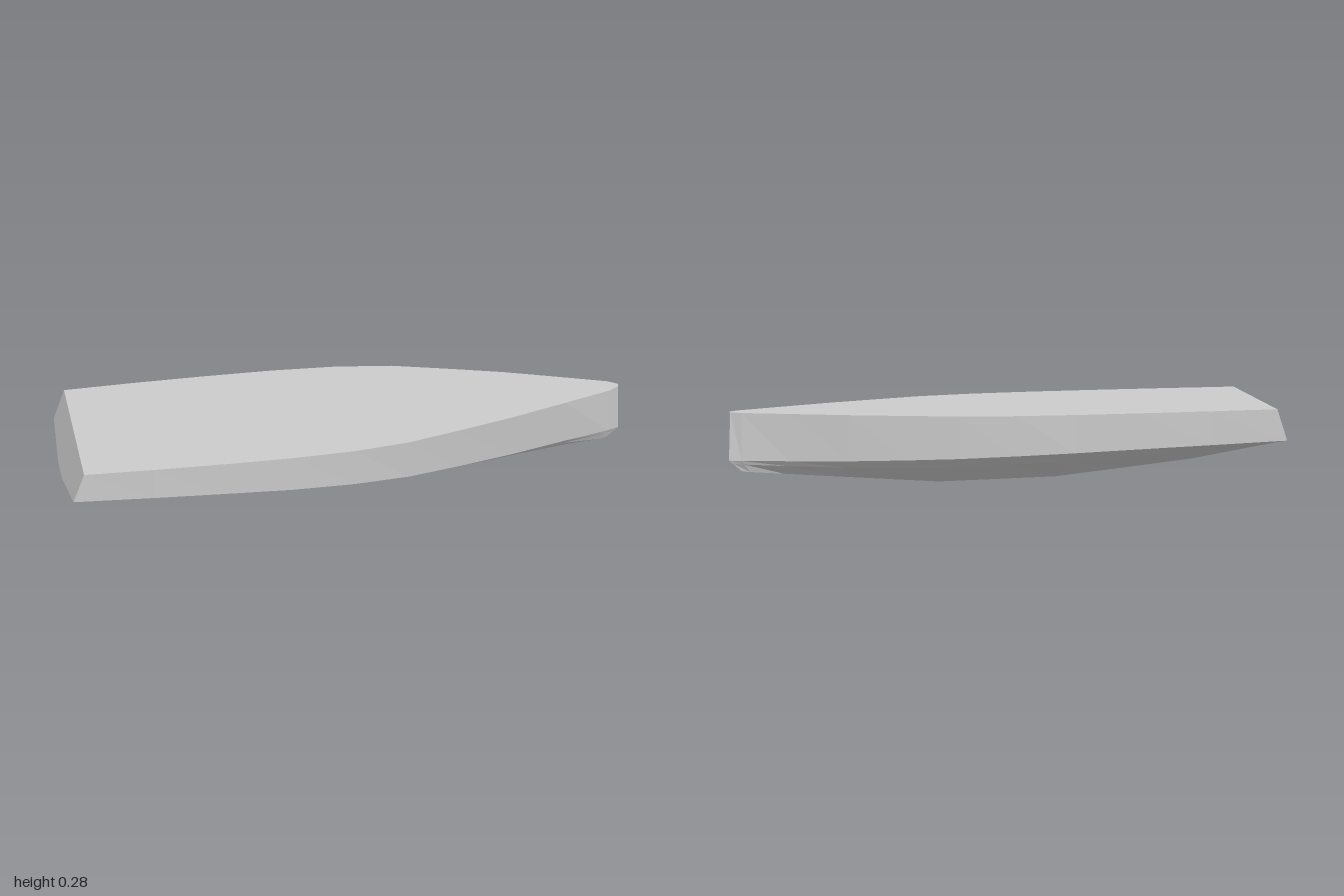
import * as THREE from 'three';

// Hull stations from transom to bow:
// [deckX, chineX, keelX, deckHalf, chineHalf, chineY, keelHalf, keelY, bilgeDrop]
const stations = [
  [-0.95, -0.987, -1.0, 0.275, 0.272, 0.13, 0.056, 0.09, 0],
  [-0.7, -0.7, -0.7, 0.282, 0.278, 0.127, 0.045, 0.045, 0.002],
  [-0.45, -0.45, -0.45, 0.285, 0.28, 0.124, 0.035, 0.022, 0.004],
  [-0.2, -0.2, -0.2, 0.284, 0.279, 0.12, 0.027, 0, 0.005],
  [0.02, 0.02, 0.02, 0.274, 0.265, 0.116, 0.026, 0, 0.006],
  [0.22, 0.22, 0.23, 0.248, 0.235, 0.111, 0.025, 0, 0.007],
  [0.4, 0.4, 0.4, 0.202, 0.187, 0.107, 0.021, 0.015, 0.007],
  [0.6, 0.6, 0.6, 0.148, 0.13, 0.104, 0.017, 0.033, 0.006],
  [0.8, 0.8, 0.8, 0.084, 0.067, 0.104, 0.013, 0.051, 0.004],
  [0.965, 0.96, 0.925, 0.03, 0.022, 0.105, 0.01, 0.062, 0.001],
  [1.0, 1.0, 0.955, 0.008, 0.007, 0.106, 0.006, 0.066, 0],
];

// One closed section: deck, chine, bilge, keel on +z, then mirrored
function section([dx, cx, kx, dz, cz, cy, kz, ky, drop]) {
  const mix = THREE.MathUtils.lerp;
  const dy = 0.245 + 0.035 * (dx + 0.95) / 1.95;
  const half = [
    [dx, dy, dz],
    [cx, cy, cz],
    [mix(kx, cx, 0.7), mix(ky, cy, 0.7) - drop, mix(kz, cz, 0.7)],
    [kx, ky, kz],
  ];
  return [...half, ...half.map(([x, y, z]) => [x, y, -z]).reverse()];
}

function hullGeometry() {
  const rings = stations.map(section);
  const n = rings[0].length;
  const pos = [];
  const tri = (a, b, c) => pos.push(...a, ...b, ...c);
  // skin and deck between neighbouring sections
  for (let i = 0; i < rings.length - 1; i++) {
    for (let j = 0; j < n; j++) {
      const k = (j + 1) % n;
      const a = rings[i][j], b = rings[i][k], c = rings[i + 1][k], d = rings[i + 1][j];
      tri(a, b, c);
      tri(a, c, d);
    }
  }
  // transom and stem caps
  const stern = rings[0], bow = rings[rings.length - 1];
  for (let j = 1; j < n - 1; j++) {
    tri(stern[0], stern[j + 1], stern[j]);
    tri(bow[0], bow[j], bow[j + 1]);
  }
  const g = new THREE.BufferGeometry();
  g.setAttribute('position', new THREE.Float32BufferAttribute(pos, 3));
  g.computeVertexNormals();
  return g;
}

export function createModel() {
  const group = new THREE.Group();
  group.name = 'boatHull';
  const hull = new THREE.Mesh(
    hullGeometry(),
    new THREE.MeshStandardMaterial({ color: 0xcccccc, flatShading: true, side: THREE.DoubleSide })
  );
  hull.name = 'hull';
  group.add(hull);
  return group;
}
